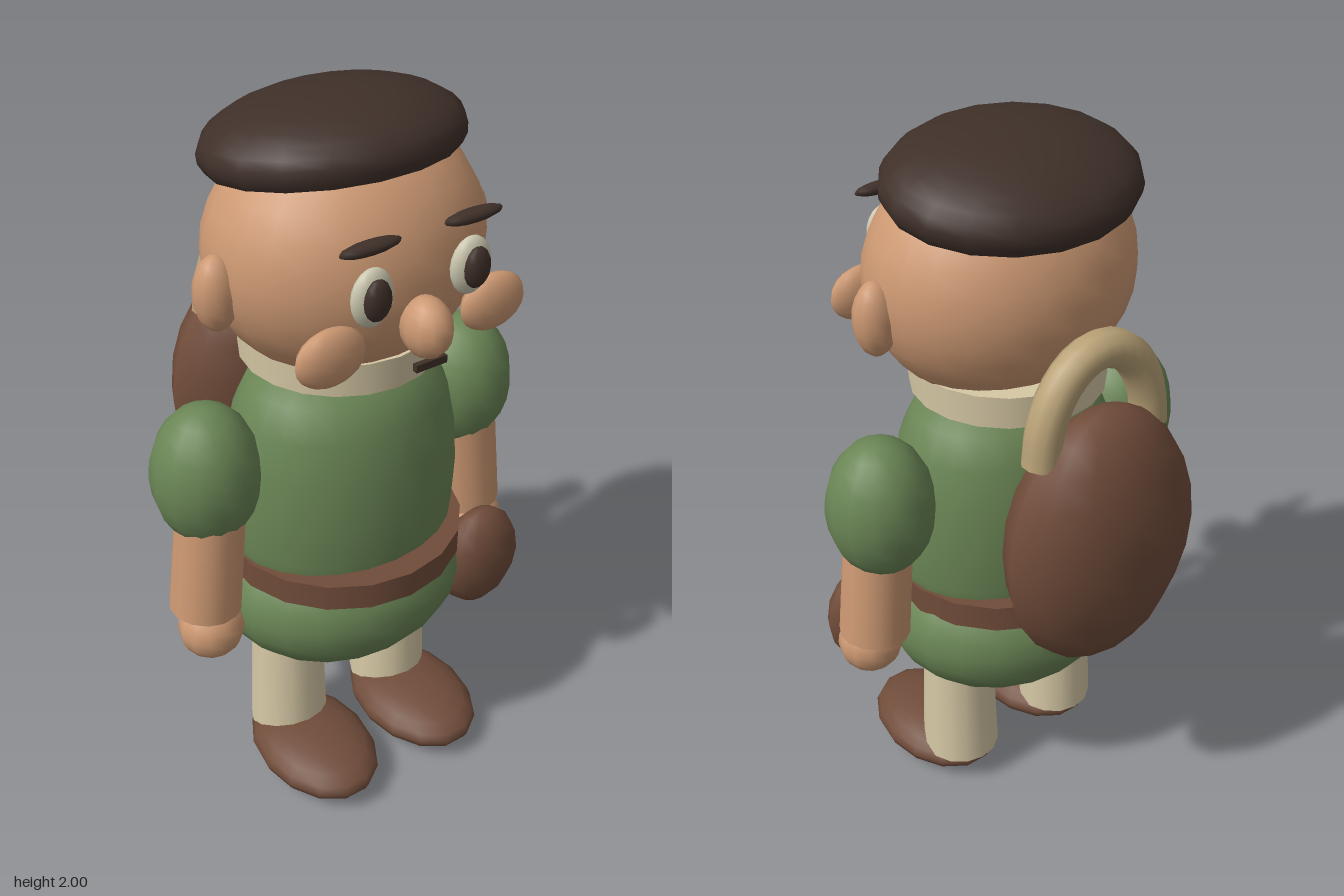
import * as THREE from 'three';

const mat = (name, color, side = THREE.FrontSide) => {
  const m = new THREE.MeshStandardMaterial({ color, side });
  m.name = name;
  return m;
};

export function createModel() {
  const skin = mat('skin', 0xcc9872);
  const green = mat('tunic green', 0x6a8555);
  const cream = mat('cream cloth', 0xd6c8a5);
  const brown = mat('leather brown', 0x704c3a);
  const dark = mat('dark brown', 0x3f3029, THREE.DoubleSide);
  const tan = mat('rope tan', 0xb9a277);
  const white = mat('eye white', 0xccc8b0);

  const model = new THREE.Group();
  model.name = 'traveller';

  const add = (name, geometry, material, pos = [0, 0, 0], scale = [1, 1, 1]) => {
    const mesh = new THREE.Mesh(geometry, material);
    mesh.name = name;
    mesh.position.set(...pos);
    mesh.scale.set(...scale);
    model.add(mesh);
    return mesh;
  };
  const ellipsoid = (name, material, pos, radii, w = 16, h = 12) =>
    add(name, new THREE.SphereGeometry(1, w, h), material, pos, radii);
  // Straight round limb between two points
  const limb = (name, material, from, to, rTop, rBottom) => {
    const a = new THREE.Vector3(...from), b = new THREE.Vector3(...to);
    const dir = a.clone().sub(b);
    const mesh = add(name, new THREE.CylinderGeometry(rTop, rBottom, dir.length(), 14), material,
      a.clone().add(b).multiplyScalar(0.5).toArray());
    mesh.quaternion.setFromUnitVectors(new THREE.Vector3(0, 1, 0), dir.normalize());
  };

  // Torso, hips, belt and collar
  const profile = [[0, 0.62], [0.31, 0.64], [0.33, 0.8], [0.335, 0.92], [0.325, 1.05],
    [0.3, 1.17], [0.26, 1.25], [0.19, 1.31], [0, 1.34]].map(([r, y]) => new THREE.Vector2(r, y));
  add('torso', new THREE.LatheGeometry(profile, 24), green, [0, 0, 0.07], [1, 1, 0.8]);
  ellipsoid('hips', green, [0, 0.595, 0.063], [0.37, 0.25, 0.312], 20, 14);
  add('belt', new THREE.CylinderGeometry(1, 1, 0.075, 18), brown, [0, 0.738, 0.075], [0.335, 1, 0.325]);
  add('collar', new THREE.CylinderGeometry(0.265, 0.26, 0.09, 20), cream, [0, 1.355, 0.055]);

  // Head and cap
  ellipsoid('head', skin, [0, 1.62, 0.08], [0.37, 0.33, 0.31], 24, 16);
  const cap = add('cap', new THREE.SphereGeometry(1, 18, 10, 0, Math.PI * 2, 0, Math.PI * 0.6),
    dark, [0, 1.868, 0.03], [0.342, 0.132, 0.286]);
  cap.rotation.x = -0.14;

  // Face centre
  ellipsoid('nose', skin, [0, 1.53, 0.415], [0.06, 0.078, 0.073], 12, 10);
  add('mouth', new THREE.BoxGeometry(0.09, 0.02, 0.015), dark, [0, 1.442, 0.435]);

  // Mirrored parts
  for (const s of [-1, 1]) {
    const side = s > 0 ? 'left' : 'right';
    ellipsoid(side + 'Ear', skin, [s * 0.37, 1.585, 0.09], [0.06, 0.1, 0.053], 12, 10);
    ellipsoid(side + 'Cheek', skin, [s * 0.237, 1.503, 0.368], [0.097, 0.076, 0.038], 12, 10);
    ellipsoid(side + 'Eye', white, [s * 0.141, 1.64, 0.392], [0.058, 0.075, 0.028], 14, 10);
    ellipsoid(side + 'Pupil', dark, [s * 0.142, 1.643, 0.415], [0.038, 0.053, 0.022], 12, 8);
    ellipsoid(side + 'Brow', dark, [s * 0.145, 1.765, 0.388], [0.085, 0.017, 0.023], 12, 8);

    ellipsoid(side + 'Sleeve', green, [s * 0.408, 1.065, 0.06], [0.147, 0.2, 0.142], 14, 12);
    limb(side + 'Forearm', skin, [s * 0.408, 1.0, 0.078], [s * 0.443, 0.655, 0.078], 0.092, 0.097);
    ellipsoid(side + 'Hand', skin, [s * 0.443, 0.6, 0.105], [0.09, 0.09, 0.088], 12, 10);

    limb(side + 'Leg', cream, [s * 0.178, 0.48, 0.066], [s * 0.178, 0.1, 0.066], 0.1, 0.112);
    ellipsoid(side + 'Shoe', brown, [s * 0.178, 0.08, 0.2], [0.162, 0.073, 0.23], 14, 10);
  }

  // Hip pouch
  ellipsoid('pouch', brown, [0.363, 0.573, 0.245], [0.13, 0.16, 0.077], 12, 8);

  // Backpack with bedroll loop
  ellipsoid('backpack', brown, [0, 1.02, -0.33], [0.287, 0.377, 0.162], 12, 12);
  const arch = [];
  for (let i = 0; i <= 8; i++) {
    const a = Math.PI * i / 8;
    arch.push(new THREE.Vector3(0.172 * Math.cos(a), 1.29 + 0.26 * Math.sin(a), -0.305));
  }
  add('packLoop', new THREE.TubeGeometry(new THREE.CatmullRomCurve3(arch), 20, 0.05, 10), tan);
  for (const s of [-1, 1]) {
    const end = add('packLoopEnd', new THREE.CircleGeometry(0.05, 10), tan, [s * 0.172, 1.29, -0.305]);
    end.rotation.x = Math.PI / 2;
  }

  return model;
}
